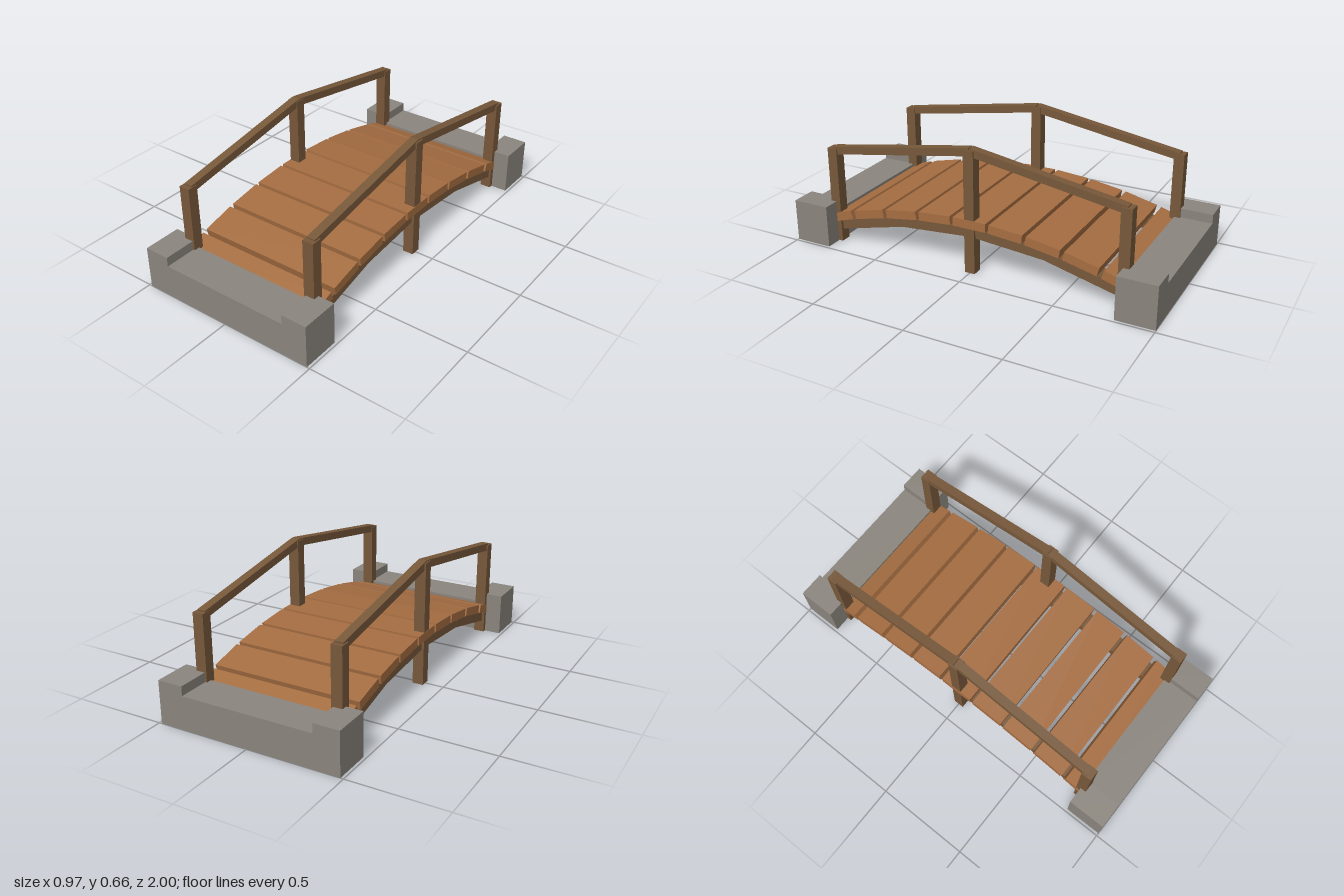
import * as THREE from 'three';

export function createModel() {
  const bridge = new THREE.Group();
  bridge.name = 'footbridge';

  const mat = (name, color) => {
    const m = new THREE.MeshStandardMaterial({ color });
    m.name = name;
    return m;
  };
  const stone = mat('stone', 0x8a857d);
  const plankWood = mat('plankWood', 0xa56d41);
  const beamWood = mat('beamWood', 0x77583a);

  const add = (name, geometry, material, x, y, z) => {
    const mesh = new THREE.Mesh(geometry, material);
    mesh.name = name;
    mesh.position.set(x, y, z);
    bridge.add(mesh);
    return mesh;
  };

  // Straight timber between two [z, y] centre points at a given x
  const beam = (name, x, [z0, y0], [z1, y1], width, height) => {
    const dz = z1 - z0, dy = y1 - y0;
    const geometry = new THREE.BoxGeometry(width, height, Math.hypot(dz, dy));
    const mesh = add(name, geometry, beamWood, x, (y0 + y1) / 2, (z0 + z1) / 2);
    mesh.rotation.x = -Math.atan2(dy, dz);
  };

  // Stone abutments: blocks with a wide shallow notch in the top
  const outline = new THREE.Shape([
    [-0.485, 0], [0.485, 0], [0.485, 0.225], [0.35, 0.225],
    [0.35, 0.176], [-0.35, 0.176], [-0.35, 0.225], [-0.485, 0.225],
  ].map(([x, y]) => new THREE.Vector2(x, y)));
  const block = new THREE.ExtrudeGeometry(outline, { depth: 0.2, bevelEnabled: false });
  add('frontAbutment', block, stone, 0, 0, 0.8);
  add('backAbutment', block, stone, 0, 0, -1);

  // Deck planks laid along a shallow arch
  const plank = new THREE.BoxGeometry(0.8, 0.046, 0.181);
  const rise = 0.2;
  for (let i = -4; i <= 4; i++) {
    const z = i * 0.1975;
    const mesh = add('plank', plank, plankWood, 0, 0.265 - rise * z * z, z);
    mesh.rotation.x = Math.atan(2 * rise * z);
  }

  for (const side of [-1, 1]) {
    // Posts: tall one at mid-span, shorter ones at both ends
    for (const [z, top] of [[-0.803, 0.52], [0, 0.65], [0.803, 0.52]]) {
      const bottom = z === 0 ? 0 : 0.002;
      add('post', new THREE.BoxGeometry(0.058, top - bottom, 0.055), beamWood,
        side * 0.369, (top + bottom) / 2, z);
    }
    for (const end of [-1, 1]) {
      // Sloping handrails
      beam('handrail', side * 0.3675, [end * 0.803, 0.507], [0, 0.639], 0.045, 0.04);
      // Stringers under the deck, bent at quarter span
      beam('stringer', side * 0.34, [end * 0.81, 0.085], [end * 0.4, 0.186], 0.09, 0.05);
      beam('stringer', side * 0.34, [end * 0.4, 0.186], [0, 0.219], 0.09, 0.05);
    }
  }
  return bridge;
}
